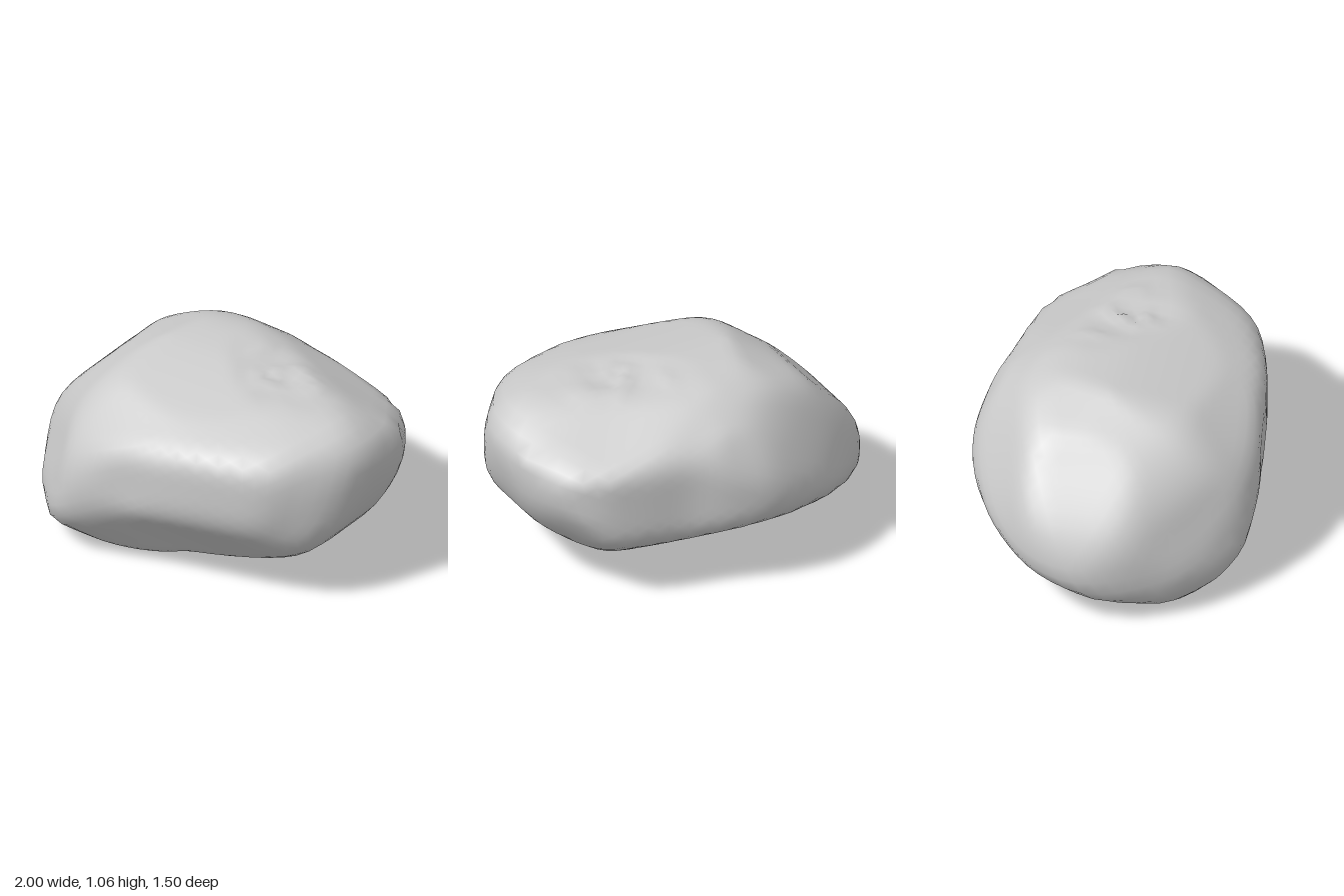
import * as THREE from 'three';
import { mergeVertices } from 'three/addons/utils/BufferGeometryUtils.js';

const V = (x, y, z) => new THREE.Vector3(x, y, z);
const cross = (ax, ay, bx, by) => ax * by - ay * bx;

// Profile outlines in hundredths of a unit around the centre of the boulder
const FRONT = [-31, 53, 0, 53, 33, 48, 65, 47, 85, 45, 98, 37, 100, 26, 98, 11, 94, -2, 88, -14, 77, -24,
  57, -33, 30, -41, 0, -46, -30, -50, -57, -52, -75, -50, -92, -41, -100, -27, -100, -14, -93, 2, -82, 16,
  -70, 28, -53, 44];
const SIDE = [-73, 20, -65, 33, -50, 41, -33, 46, -10, 51, 5, 53, 28, 53, 45, 48, 58, 38, 69, 22, 75, 6, 75, -7,
  68, -17, 50, -27, 30, -33, 10, -40, -10, -47, -30, -52, -46, -51, -58, -46, -66, -39, -70, -29, -74, -12, -75, 3];
const PLAN = [-22, -75, 3, -72, 25, -64, 50, -59, 70, -53, 87, -40, 96, -23, 100, -3, 97, 20, 86, 40, 68, 57,
  43, 66, 17, 71, -10, 73, -32, 75, -50, 72, -65, 64, -78, 49, -88, 31, -97, 10, -100, -10, -94, -30, -77, -49,
  -51, -66];

// Diagonal outlines, in steps of 1/183 unit
const DIAGONAL_A = [7, 115, 47, 105, 102, 73, 149, 45, 164, 29, 166, 12, 164, -11, 153, -32, 129, -60, 96, -82,
  41, -97, -1, -101, -50, -99, -131, -90, -155, -78, -163, -51, -161, -24, -151, 8, -141, 36, -126, 58, -100, 80,
  -57, 101, -16, 112];
const DIAGONAL_B = [-107, 118, -69, 118, -30, 115, 43, 100, 82, 85, 111, 68, 136, 46, 151, 21, 159, -20, 163, -58,
  153, -90, 144, -101, 125, -107, 87, -106, 42, -99, -18, -82, -74, -64, -121, -44, -150, -24, -163, 14, -166, 36,
  -160, 76, -148, 98];
const DIAGONAL_C = [-92, 123, -27, 116, 53, 104, 99, 82, 138, 30, 161, -26, 162, -69, 139, -104, 112, -123,
  43, -148, 1, -140, -27, -124, -81, -72, -148, -16, -158, 0, -164, 39, -159, 70, -146, 103, -122, 119];

// Smooth closed outline with the two axes it is measured along and the axis it is square to
function outline(flat, unit, right, up) {
  const pts = [];
  for (let i = 0; i < flat.length; i += 2) pts.push(V(flat[i] / unit, flat[i + 1] / unit, 0));
  const points = new THREE.CatmullRomCurve3(pts, true, 'centripetal').getPoints(96);
  return { points, right, up, axis: V(0, 0, 0).crossVectors(right, up) };
}

// Outline lying square to a diagonal direction (signs sx, sz), tilted up or down in degrees
function diagonal(flat, sx, sz, tilt) {
  const h = Math.SQRT1_2, a = THREE.MathUtils.degToRad(tilt), s = Math.sin(a), c = Math.cos(a);
  return outline(flat, 183, V(sz * h, 0, -sx * h), V(-s * sx * h, c, -s * sz * h));
}

// Size of a point relative to the outline: 1 on it, less inside, more outside
function gauge(o, p) {
  const u = p.dot(o.right), v = p.dot(o.up);
  for (let i = 0; i + 1 < o.points.length; i++) {
    const a = o.points[i], b = o.points[i + 1];
    const k = cross(a.x, a.y, b.x, b.y);
    if (cross(a.x, a.y, u, v) * k >= -1e-12 && cross(u, v, b.x, b.y) * k >= -1e-12) {
      const g = cross(u, v, b.x - a.x, b.y - a.y) / k;
      if (g > 0) return g;
    }
  }
  return 0;
}

// Move every vertex towards (or, if negative, away from) the mean of its neighbours
function relax(points, neighbours, amount) {
  const means = points.map((p, i) => {
    const m = V(0, 0, 0);
    for (const j of neighbours[i]) m.add(points[j]);
    return m.divideScalar(neighbours[i].size);
  });
  points.forEach((p, i) => p.lerp(means[i], amount));
}

export function createModel() {
  const outlines = [
    outline(FRONT, 100, V(1, 0, 0), V(0, 1, 0)),
    outline(SIDE, 100, V(0, 0, -1), V(0, 1, 0)),
    outline(PLAN, 100, V(1, 0, 0), V(0, 0, 1)),
    diagonal(DIAGONAL_A, 1, 1, 20),
    diagonal(DIAGONAL_B, -1, -1, 20),
    diagonal(DIAGONAL_C, 1, -1, -30),
  ];

  let geometry = new THREE.IcosahedronGeometry(1, 14);
  geometry.deleteAttribute('uv');
  geometry.deleteAttribute('normal');
  geometry = mergeVertices(geometry, 1e-4);
  const pos = geometry.attributes.position, index = geometry.index.array;
  const points = [], neighbours = [];
  for (let i = 0; i < pos.count; i++) {
    points.push(V(0, 0, 0).fromBufferAttribute(pos, i).normalize());
    neighbours.push(new Set());
  }
  for (let i = 0; i < index.length; i += 3) {
    for (let k = 0; k < 3; k++) {
      neighbours[index[i + k]].add(index[i + (k + 1) % 3]).add(index[i + (k + 2) % 3]);
    }
  }

  // Sphere pulled in to the softly blended intersection of all outlines,
  // with a shallow hollow low on the front
  const hollow = V(0.4, -0.25, 0.6).normalize(), softness = 24, margin = 1.02;
  for (const p of points) {
    const dent = 1 - 0.04 * Math.exp(-((p.angleTo(hollow) / 0.3) ** 2));
    let sum = 0;
    for (const o of outlines) sum += gauge(o, p) ** softness;
    p.multiplyScalar(margin * dent * sum ** (-1 / softness));
  }

  // Wear the ridges smooth while the rim of each outline stays in place
  const normal = V(0, 0, 0), rimWidth = 0.12;
  for (let pass = 0; pass < 40; pass++) {
    geometry.setFromPoints(points);
    geometry.computeVertexNormals();
    points.forEach((p, i) => {
      normal.fromBufferAttribute(geometry.attributes.normal, i);
      for (const o of outlines) {
        const g = gauge(o, p), rim = 1 - Math.abs(normal.dot(o.axis)) / rimWidth;
        if (g > 1) p.divideScalar(g);
        else if (rim > 0) p.multiplyScalar(1 + 0.6 * rim * (1 / g - 1));
      }
    });
    relax(points, neighbours, 0.5);
    relax(points, neighbours, -0.52);
  }

  // Centre it and stand it on the ground
  geometry.setFromPoints(points);
  geometry.center();
  geometry.translate(0, -geometry.boundingBox.min.y, 0);
  geometry.computeVertexNormals();

  const boulder = new THREE.Mesh(geometry, new THREE.MeshStandardMaterial({ color: 0xcccccc }));
  boulder.name = 'boulder';
  const group = new THREE.Group();
  group.name = 'rock';
  group.add(boulder);
  return group;
}
